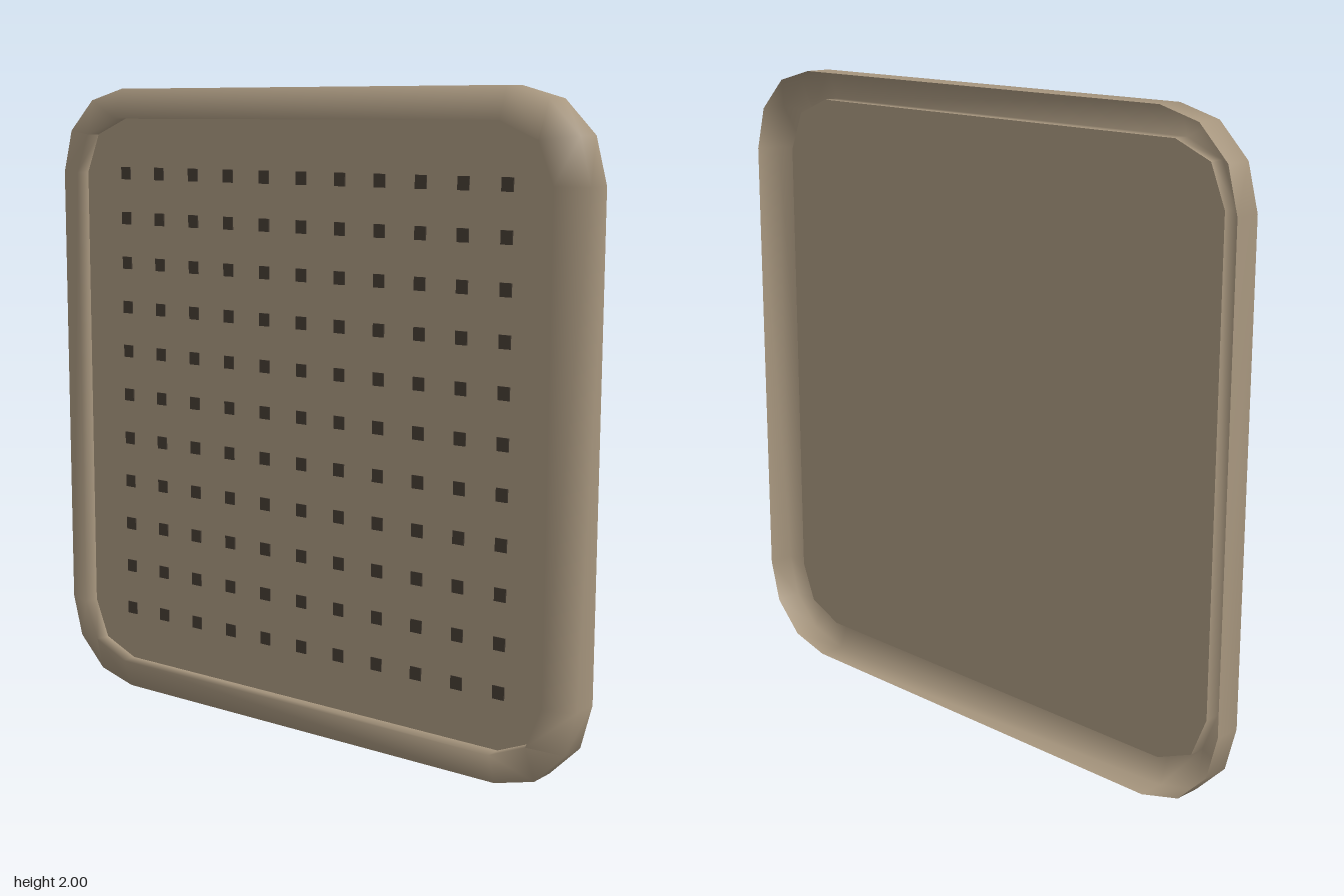
import * as THREE from 'three';

// Rounded-square loop as [z, y] offsets from the centre; four points per corner
function squareLoop(half, steps) {
  const c = 0.73, r = half - c, pts = [];
  for (let q = 0; q < 4; q++) {
    const sz = q === 0 || q === 3 ? c : -c;
    const sy = q < 2 ? c : -c;
    for (const s of steps) {
      const t = (q + s) * Math.PI / 2;
      pts.push([sz + r * Math.cos(t), sy + r * Math.sin(t)]);
    }
  }
  return pts;
}

// Smooth shell joining the loops one after another along x
function loftLoops(rings) {
  const n = rings[0].loop.length, pos = [], idx = [];
  for (const { x, loop } of rings) for (const [z, y] of loop) pos.push(x, y, z);
  for (let j = 0; j < rings.length - 1; j++) {
    for (let i = 0; i < n; i++) {
      const k = (i + 1) % n;
      const a = j * n + i, b = j * n + k, c = a + n, d = b + n;
      idx.push(a, b, c, b, d, c);
    }
  }
  const g = new THREE.BufferGeometry();
  g.setAttribute('position', new THREE.Float32BufferAttribute(pos, 3));
  g.setIndex(idx);
  g.computeVertexNormals();
  return g;
}

export function createModel() {
  const tan = new THREE.MeshStandardMaterial({ color: 0xa8977f, side: THREE.DoubleSide });
  tan.name = 'tan';
  const dark = new THREE.MeshStandardMaterial({ color: 0x453d34 });
  dark.name = 'darkBrown';

  const model = new THREE.Group();
  model.name = 'perforatedPanel';
  const body = new THREE.Group();
  body.position.y = 1;
  model.add(body);

  const outer = squareLoop(1, [0, 1 / 3, 2 / 3, 1]);
  const inner = squareLoop(0.905, [0, 0.5, 0.5, 1]);

  // Open rim: outer wall, bevel, inner wall down to the panel
  const rim = new THREE.Mesh(loftLoops([
    { x: 0.06, loop: outer },
    { x: -0.025, loop: outer },
    { x: -0.06, loop: inner },
    { x: -0.009, loop: inner },
  ]), tan);
  rim.name = 'rim';
  body.add(rim);

  // Thin sheet inside the rim
  const outline = squareLoop(0.905, [0, 0.5, 1]).map(([z, y]) => new THREE.Vector2(z, y));
  const sheet = new THREE.ShapeGeometry(new THREE.Shape(outline));
  sheet.rotateY(Math.PI / 2);
  const panel = new THREE.Mesh(sheet, tan);
  panel.name = 'panel';
  panel.position.x = -0.009;
  body.add(panel);

  // Grid of small square perforations on the -x face
  const holes = new THREE.Group();
  holes.name = 'perforations';
  const plate = new THREE.BoxGeometry(0.003, 0.04, 0.04);
  for (let i = -5; i <= 5; i++) {
    for (let j = -5; j <= 5; j++) {
      const hole = new THREE.Mesh(plate, dark);
      hole.name = 'perforation';
      hole.position.set(-0.011, i * 0.146, j * 0.146);
      holes.add(hole);
    }
  }
  body.add(holes);

  return model;
}
